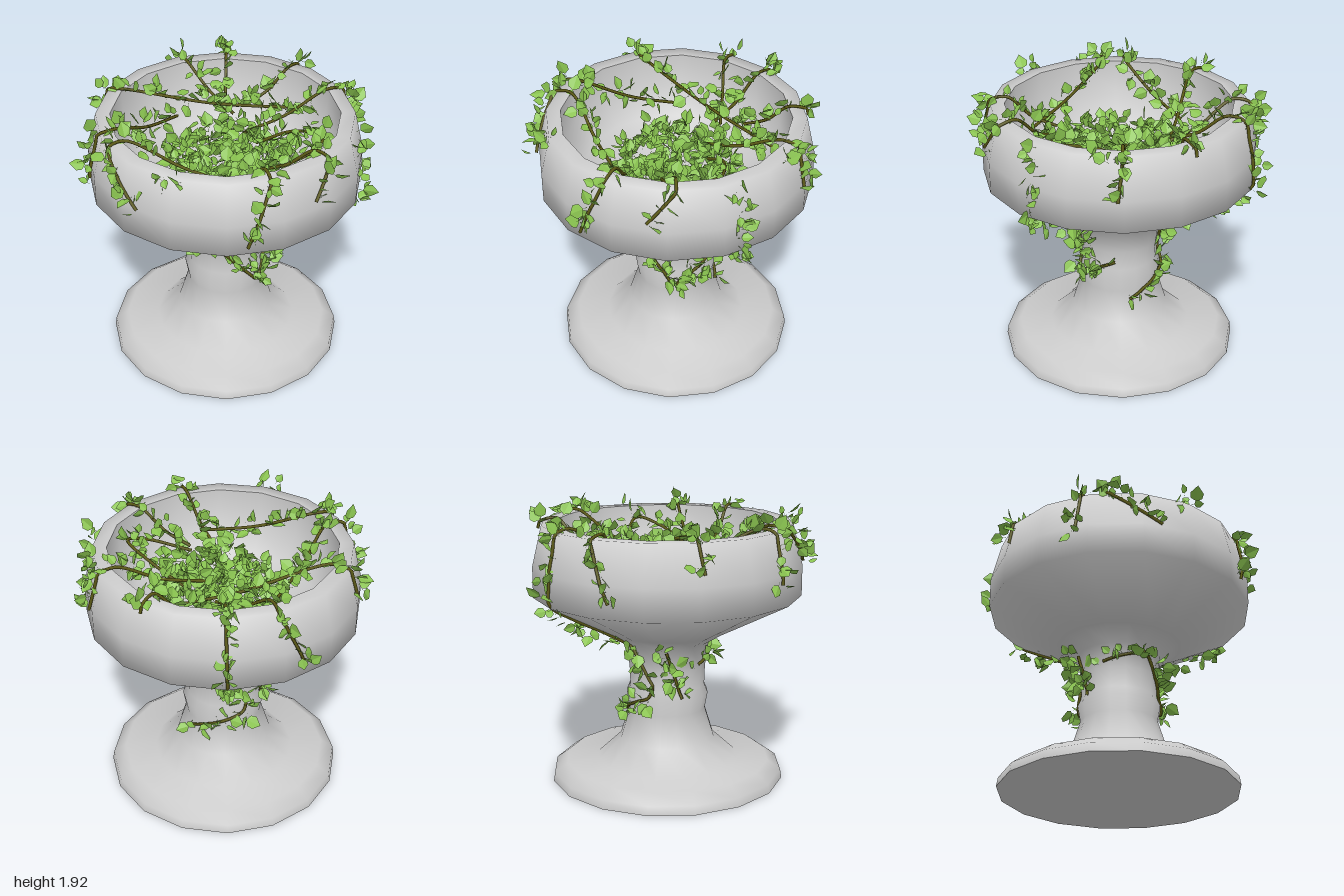
import * as THREE from 'three';
import { mergeGeometries, toCreasedNormals } from 'three/addons/utils/BufferGeometryUtils.js';

const UP = new THREE.Vector3(0, 1, 0);

// Point at a compass angle in degrees (0 = front, 90 = +x), radius and height
function polar(deg, r, y) {
  const a = THREE.MathUtils.degToRad(deg);
  return new THREE.Vector3(r * Math.sin(a), y, r * Math.cos(a));
}

// Small seeded generator
let seed = 7;
function rnd(a = 0, b = 1) {
  seed = (seed * 16807) % 2147483647;
  return a + (b - a) * (seed / 2147483647);
}
const jitter = (s) => new THREE.Vector3(rnd(-s, s), rnd(-s, s), rnd(-s, s));

// Stone outline from the ground up to the rim, then the hollow
const toPoints = (list) => list.map(([r, y]) => new THREE.Vector2(r, y));
const foot = toPoints([[0, 0], [0.81, 0], [0.8, 0.06], [0.71, 0.125]]);
const outside = toPoints([
  [0.49, 0.13], [0.33, 0.28], [0.265, 0.49], [0.285, 0.6], [0.26, 0.66], [0.265, 0.8],
  [0.29, 0.97], [0.42, 1.05], [0.915, 1.31], [0.915, 1.52], [0.85, 1.79],
]);
const hollow = toPoints([[0.755, 1.79], [0.74, 1.56], [0.62, 1.38], [0.35, 1.27], [0, 1.24]]);

// Radius just outside the stone at a height
function surfaceRadius(y) {
  const i = Math.max(1, outside.findIndex((p) => p.y >= y));
  const a = outside[i - 1];
  const b = outside[i];
  return THREE.MathUtils.mapLinear(y, a.y, b.y, a.x, b.x) + 0.008;
}

// Points clinging to the stone from one angle and height to another
function cling(deg0, deg1, y0, y1, steps = 7) {
  return Array.from({ length: steps + 1 }, (_, i) => {
    const t = i / steps;
    const y = THREE.MathUtils.lerp(y0, y1, t);
    return polar(THREE.MathUtils.lerp(deg0, deg1, t), surfaceRadius(y), y);
  });
}

// A vine that crosses the hollow, climbs over the rim and hangs outside
function rimVine(startDeg, startR, rimDeg, endDeg, endY) {
  const start = polar(startDeg, startR, 1.58);
  const lip = polar(rimDeg, 0.74, 1.81);
  const middle = start.clone().lerp(lip, 0.5).setY(1.66);
  return [start, middle, lip, ...cling(rimDeg, endDeg, 1.785, endY)];
}

const vines = [
  rimVine(175, 0.15, 157, 155, 1.52),
  rimVine(207, 0.5, 188, 188, 1.74),
  rimVine(225, 0.35, 224, 225, 1.0),
  rimVine(215, 0.35, 246, 256, 1.41),
  rimVine(176, 0.65, 292, 294, 1.6),
  rimVine(270, 0.46, 333, 332, 1.47),
  rimVine(59, 0.58, -15, 8, 1.53),
  rimVine(54, 0.43, 63, 53, 1.37),
  rimVine(76, 0.41, 93, 82, 1.58),
  // loop inside the bowl
  [polar(160, 0.23, 1.5), polar(135, 0.45, 1.65), polar(117, 0.66, 1.72), polar(103, 0.6, 1.66), polar(76, 0.4, 1.55)],
  // winding round the neck
  [...cling(225, 258, 0.98, 0.7), ...cling(252, 170, 0.62, 0.44)],
  [...cling(-33, 28, 0.84, 0.92), ...cling(36, 92, 0.88, 0.57), ...cling(100, 150, 0.61, 0.73)],
  cling(278, 300, 0.95, 0.62),
];

// Runs of leaves whose stem is hidden
const trails = [
  cling(120, 116, 1.78, 0.65),
  cling(222, 230, 1.78, 1.77),
  cling(143, 157, 1.78, 1.77),
  cling(14, 28, 1.78, 1.77),
  cling(82, 98, 0.95, 0.56),
  cling(272, 296, 1.0, 0.7),
];

// One leaf: thin stalk plus an angular blade slightly folded along its midrib, growing along +y
function leafGeometry() {
  const half = [[0, 0.22, 0], [0.28, 0.36, 0.04], [0.33, 0.64, 0.05], [0, 1, -0.05]];
  const pos = [-0.015, 0, 0, 0.015, 0, 0, 0, 0.3, 0];
  for (const s of [1, -1]) {
    for (let i = 1; i < 3; i++) {
      const tri = [half[0], half[i], half[i + 1]];
      if (s < 0) tri.reverse();
      tri.forEach(([x, y, z]) => pos.push(s * x, y, z));
    }
  }
  const g = new THREE.BufferGeometry();
  g.setAttribute('position', new THREE.Float32BufferAttribute(pos, 3));
  g.computeVertexNormals();
  return g;
}
const leaf = leafGeometry();

// A leaf at a point, tip leaning along a direction with random roll
function placeLeaf(point, dir, size) {
  const q = new THREE.Quaternion().setFromUnitVectors(UP, dir.normalize());
  q.multiply(new THREE.Quaternion().setFromAxisAngle(UP, rnd(0, Math.PI * 2)));
  const m = new THREE.Matrix4().compose(point, q, new THREE.Vector3(size, size, size));
  return leaf.clone().applyMatrix4(m);
}

// Leaves scattered along a curve, leaning away from the stone
function leavesAlong(curve) {
  const count = Math.round(curve.getLength() * 32);
  return Array.from({ length: count }, (_, i) => {
    const p = curve.getPointAt((i + rnd()) / count);
    const r = Math.hypot(p.x, p.z);
    const inside = p.y > 1.3 && r < 0.74;
    const dir = inside ? new THREE.Vector3(0, 0.4, 0) : new THREE.Vector3(p.x / r, 0.1, p.z / r).multiplyScalar(0.6);
    if (p.y > 1.76) dir.y += 0.3;
    return placeLeaf(p.add(jitter(0.03)), dir.add(jitter(0.9)), rnd(0.08, 0.14));
  });
}

// One leaf of the tangle heaped in the bowl
function heapLeaf() {
  const r = 0.42 * Math.sqrt(rnd());
  const p = polar(rnd(0, 360), r, rnd(1.32, 1.68 - r * 0.35));
  p.x += 0.06;
  return placeLeaf(p, jitter(1).add(new THREE.Vector3(0, 0.3, 0)), rnd(0.09, 0.15));
}

export function createModel() {
  seed = 7;
  const group = new THREE.Group();
  const add = (name, geometry, material) => {
    const mesh = new THREE.Mesh(geometry, material);
    mesh.name = name;
    group.add(mesh);
  };
  const stone = new THREE.MeshStandardMaterial({ color: 0xcccccc });
  const bark = new THREE.MeshStandardMaterial({ color: 0x5c5a16 });
  const green = new THREE.MeshStandardMaterial({ color: 0x8ac450, side: THREE.DoubleSide });

  // Urn: foot, ringed neck, bowl, rim and hollow in one turned shape
  const urn = new THREE.LatheGeometry([...foot, ...outside, ...hollow], 16);
  add('urn', toCreasedNormals(urn, 1.4), stone);

  // Vine stems and leaves
  const curves = vines.map((path) => new THREE.CatmullRomCurve3(path));
  const bareCurves = trails.map((path) => new THREE.CatmullRomCurve3(path));
  add('vineStems', mergeGeometries(curves.map((c) => new THREE.TubeGeometry(c, 40, 0.011, 5))), bark);
  add('vineLeaves', mergeGeometries([...curves, ...bareCurves].flatMap(leavesAlong)), green);
  add('leafHeap', mergeGeometries(Array.from({ length: 340 }, heapLeaf)), green);
  return group;
}
